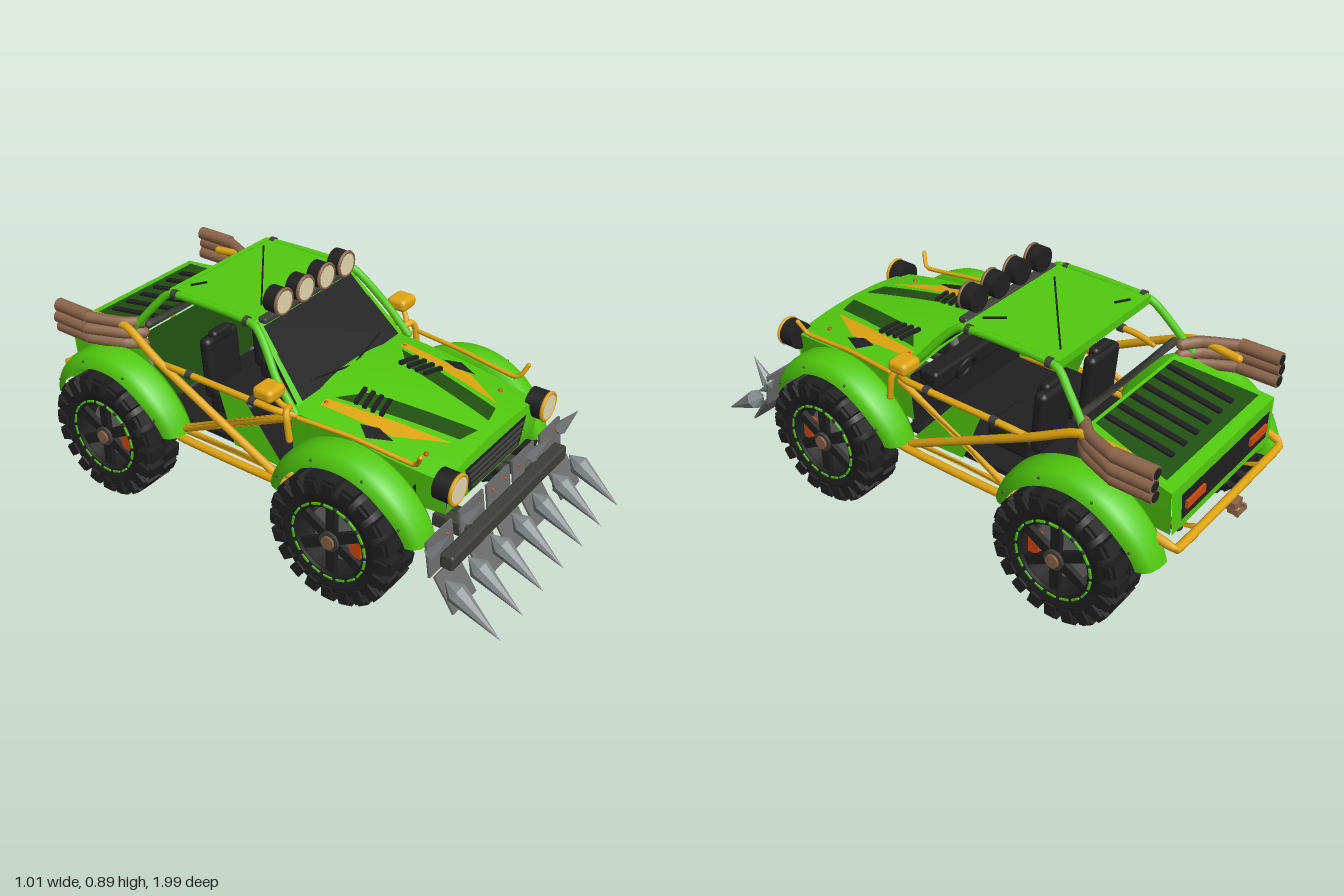
import * as THREE from 'three';
import { mergeGeometries } from 'three/addons/utils/BufferGeometryUtils.js';
import { RoundedBoxGeometry } from 'three/addons/geometries/RoundedBoxGeometry.js';

const mat = (name, color) => new THREE.MeshStandardMaterial({ name, color, side: THREE.DoubleSide });
const V = (p) => new THREE.Vector3(...p);
const lerp = THREE.MathUtils.lerp;

export function createModel() {
  const root = new THREE.Group();
  root.name = 'armoredBuggy';
  const green = mat('bodyGreen', 0x51ca0e), darkGreen = mat('darkGreen', 0x215010), black = mat('black', 0x202020),
    dark = mat('darkMetal', 0x3f403b), plate = mat('plateGrey', 0x6b6b6b), steel = mat('spikeSteel', 0x848a8a),
    yellow = mat('yellow', 0xe0a510), brown = mat('pipeBrown', 0x8b6549), cream = mat('lampCream', 0xe2d8b0),
    red = mat('orangeRed', 0xd04a10);

  // Helpers
  const add = (name, geo, m, pos = [0, 0, 0], rot = [0, 0, 0], parent = root) => {
    const mesh = new THREE.Mesh(geo, m);
    mesh.name = name;
    mesh.position.set(...pos);
    mesh.rotation.set(...rot);
    parent.add(mesh);
    return mesh;
  };
  const box = (name, m, size, pos, rot) => add(name, new THREE.BoxGeometry(...size), m, pos, rot);
  const round = (name, m, size, pos, r = 0.015) => add(name, new RoundedBoxGeometry(...size, 2, r), m, pos);
  const tube = (name, m, r, pts) => {
    const c = new THREE.CatmullRomCurve3(pts.map(V), false, 'catmullrom', 0.25);
    add(name, new THREE.TubeGeometry(c, pts.length > 2 ? pts.length * 7 : 1, r, 10), m);
    for (const p of [pts[0], pts[pts.length - 1]]) add(name + 'End', new THREE.SphereGeometry(r, 10, 6), m, p);
  };
  const surface = (fn, nu, nv) => {
    const pos = [], idx = [];
    for (let j = 0; j <= nv; j++) for (let i = 0; i <= nu; i++) pos.push(...fn(i / nu, j / nv));
    for (let j = 0; j < nv; j++) for (let i = 0; i < nu; i++) {
      const a = j * (nu + 1) + i, b = a + nu + 1;
      idx.push(a, b, a + 1, b, b + 1, a + 1);
    }
    const g = new THREE.BufferGeometry();
    g.setAttribute('position', new THREE.Float32BufferAttribute(pos, 3));
    g.setIndex(idx);
    g.computeVertexNormals();
    return g;
  };
  // Flat quad through four corners a, b, c, d in order
  const quad = (name, m, a, b, c, d) => add(name, surface((u, v) =>
    a.map((_, k) => lerp(lerp(a[k], b[k], u), lerp(d[k], c[k], u), v)), 1, 1), m);
  const flat = (g) => { const n = g.toNonIndexed(); n.computeVertexNormals(); return n; };
  const discZ = (name, m, r, len, pos, seg = 28) =>
    add(name, new THREE.CylinderGeometry(r, r, len, seg), m, pos, [Math.PI / 2, 0, 0]);
  const sides = [1, -1];

  // Hood: crowned top, side walls and nose
  const hoodY = (x, z) => { const t = (z - 0.12) / 0.58; return 0.585 - 0.03 * t - 0.035 * t * t - 0.34 * x * x; };
  const hoodW = (z) => 0.325 - 0.03 * Math.max(0, (z - 0.35) / 0.35) ** 2;
  const hz = (v) => lerp(0.12, 0.7, v);
  add('hood', surface((u, v) => {
    const z = hz(v), x = (u * 2 - 1) * hoodW(z);
    return [x, hoodY(x, z), z];
  }, 16, 14), green);
  for (const s of sides) add('hoodSide', surface((u, v) => {
    const z = hz(v), w = hoodW(z);
    return [s * (w - 0.015 * u), lerp(hoodY(w, z), 0.36, u), z];
  }, 1, 14), green);
  const nw = hoodW(0.7);
  add('nose', surface((u, v) => {
    const x = (u * 2 - 1) * lerp(nw, 0.285, v);
    return [x, lerp(hoodY(x, 0.7), 0.36, v), 0.7 + 0.008 * Math.sin(v * Math.PI)];
  }, 12, 6), green);
  quad('grille', black, [-0.2, 0.49, 0.713], [0.2, 0.49, 0.713], [0.165, 0.385, 0.713], [-0.165, 0.385, 0.713]);
  for (let i = 0; i < 4; i++) box('grilleSlat', dark, [0.36 - i * 0.018, 0.005, 0.008], [0, 0.472 - i * 0.023, 0.717]);
  // Painted hood markings follow the crown
  const decal = (name, m, p) => {
    for (const s of sides) add(name, surface((u, v) => {
      const x = s * lerp(lerp(p[0][0], p[1][0], u), lerp(p[3][0], p[2][0], u), v);
      const z = lerp(lerp(p[0][1], p[1][1], u), lerp(p[3][1], p[2][1], u), v);
      return [x, hoodY(x, z) + 0.004, z];
    }, 4, 8), m);
  };
  decal('hoodFlash', yellow, [[0.255, 0.19], [0.22, 0.19], [0.145, 0.63], [0.24, 0.47]]);
  decal('hoodStripe', darkGreen, [[0.2, 0.21], [0.11, 0.29], [0.035, 0.66], [0.115, 0.64]]);
  decal('hoodPatch', black, [[0.255, 0.35], [0.235, 0.41], [0.255, 0.48], [0.295, 0.4]]);
  // Raised vents and hood pins
  for (const s of sides) {
    for (let i = 0; i < 4; i++) {
      const z = 0.275 + i * 0.033;
      box('hoodVent', black, [0.085, 0.014, 0.014], [s * 0.145, hoodY(0.145, z) + 0.006, z], [0, s * -0.22, s * -0.1]);
    }
    for (const [x, z] of [[0.235, 0.2], [0.235, 0.59]])
      add('hoodPin', new THREE.SphereGeometry(0.009, 8, 6), red, [s * x, hoodY(x, z), z]);
  }

  // Windshield, roof and cage
  quad('windshield', black, [-0.285, 0.572, 0.14], [0.285, 0.572, 0.14], [0.25, 0.772, -0.05], [-0.25, 0.772, -0.05]);
  quad('windshieldHeader', green, [-0.255, 0.768, -0.047], [0.255, 0.768, -0.047], [0.255, 0.79, -0.07], [-0.255, 0.79, -0.07]);
  round('roof', green, [0.53, 0.02, 0.38], [0, 0.785, -0.255], 0.008);
  box('roofRearFrame', green, [0.53, 0.03, 0.02], [0, 0.783, -0.44]);
  for (const s of sides) {
    quad('pillarPlate', green, [s * 0.28, 0.565, 0.142], [s * 0.31, 0.565, 0.14], [s * 0.262, 0.785, -0.065], [s * 0.247, 0.775, -0.05]);
    tube('cageTube', green, 0.014, [[s * 0.335, 0.55, 0.15], [s * 0.322, 0.65, 0.06], [s * 0.274, 0.785, -0.07],
      [s * 0.268, 0.785, -0.43], [s * 0.285, 0.73, -0.5], [s * 0.315, 0.61, -0.6]]);
    for (const z of [-0.1, -0.42]) add('cageClamp', new THREE.CylinderGeometry(0.018, 0.018, 0.02, 10), dark, [s * 0.27, 0.786, z], [Math.PI / 2, 0, 0]);
  }
  const roofLine = (a, b, w) => {
    const dx = b[0] - a[0], dz = b[1] - a[1];
    box('roofCrease', black, [Math.hypot(dx, dz), 0.006, w], [(a[0] + b[0]) / 2, 0.797, (a[1] + b[1]) / 2], [0, -Math.atan2(dz, dx), 0]);
  };
  roofLine([-0.17, -0.12], [0.2, -0.41], 0.006);
  roofLine([0.15, -0.16], [0.2, -0.1], 0.008);
  roofLine([-0.2, -0.41], [-0.15, -0.38], 0.008);
  for (const s of sides) tube('wiper', black, 0.004, [[s * 0.2, 0.605, 0.117], [s * 0.02, 0.58, 0.14]]);

  // Roof lamp bar
  round('lampBar', dark, [0.5, 0.022, 0.035], [0, 0.792, -0.055], 0.008);
  for (const x of [-0.177, -0.059, 0.059, 0.177]) {
    discZ('roofLampHousing', black, 0.046, 0.05, [x, 0.845, -0.045]);
    add('roofLampRing', new THREE.TorusGeometry(0.044, 0.006, 8, 28), brown, [x, 0.845, -0.018]);
    discZ('roofLampLens', cream, 0.041, 0.008, [x, 0.845, -0.018]);
  }

  // Headlights, mirrors and hood-side tubes
  for (const s of sides) {
    discZ('headlightHousing', black, 0.052, 0.065, [s * 0.295, 0.485, 0.712]);
    add('headlightRing', new THREE.TorusGeometry(0.049, 0.007, 8, 28), yellow, [s * 0.295, 0.485, 0.745]);
    discZ('headlightLens', cream, 0.045, 0.01, [s * 0.295, 0.485, 0.745]);
    round('mirror', yellow, [0.088, 0.048, 0.08], [s * 0.387, 0.642, 0.083], 0.018);
    tube('mirrorStalk', yellow, 0.01, [[s * 0.385, 0.63, 0.09], [s * 0.365, 0.59, 0.12], [s * 0.335, 0.56, 0.14]]);
    tube('mirrorBrace', yellow, 0.012, [[s * 0.335, 0.575, 0.13], [s * 0.37, 0.58, 0.14], [s * 0.383, 0.555, 0.15], [s * 0.383, 0.48, 0.16]]);
    tube('hoodSideTube', yellow, 0.008, [[s * 0.36, 0.56, 0.18], [s * 0.34, 0.555, 0.38], [s * 0.325, 0.535, 0.6], [s * 0.345, 0.585, 0.635]]);
  }

  // Fenders: rounded section swept over each wheel
  const profile = [[0.33, 0.24], [0.33, 0.285], [0.355, 0.302], [0.4, 0.3], [0.435, 0.29], [0.455, 0.272], [0.462, 0.245]];
  const fender = (s, zc) => add('fender', surface((u, v) => {
    const [x, r] = profile[Math.round(u * 6)], a = lerp(0.2, Math.PI - 0.2, v);
    const c = Math.abs(Math.cos(a));
    return [s * (x - 0.03 * c ** 6 * u), 0.25 + r * Math.sin(a), zc + r * (1 + 0.045 * c ** 4) * Math.cos(a)];
  }, 6, 28), green);
  for (const s of sides) for (const z of [0.4, -0.62]) {
    fender(s, z);
    for (const a of [0.5, 1.2, 1.94, 2.64])
      add('fenderBolt', new THREE.SphereGeometry(0.005, 6, 4), dark, [s * 0.457, 0.25 + 0.27 * Math.sin(a), z + 0.27 * Math.cos(a)]);
  }

  // Rear body: sloping deck, louvers, side walls and tail panel
  const deckY = (z) => 0.605 + (z + 0.56) * 0.17;
  const deck = (name, m, w0, w1, z0, z1, lift) => quad(name, m, [-w0, deckY(z0) + lift, z0], [w0, deckY(z0) + lift, z0],
    [w1, deckY(z1) + lift, z1], [-w1, deckY(z1) + lift, z1]);
  deck('rearDeck', green, 0.29, 0.325, -0.56, -0.91, 0);
  deck('deckInset', darkGreen, 0.235, 0.29, -0.575, -0.87, 0.005);
  for (let i = 0; i < 6; i++) box('deckLouver', black, [0.022, 0.012, 0.25], [-0.185 + i * 0.074, deckY(-0.705) + 0.008, -0.705], [-0.17, 0, 0]);
  for (const s of sides) quad('rearSide', green, [s * 0.29, deckY(-0.56), -0.56], [s * 0.325, deckY(-0.91), -0.91], [s * 0.31, 0.38, -0.91], [s * 0.29, 0.38, -0.56]);
  quad('tailPanel', green, [-0.325, 0.546, -0.91], [0.325, 0.546, -0.91], [0.31, 0.38, -0.915], [-0.31, 0.38, -0.915]);
  quad('tailInset', black, [-0.28, 0.52, -0.92], [0.28, 0.52, -0.92], [0.27, 0.42, -0.922], [-0.27, 0.42, -0.922]);
  for (const s of sides) box('tailLight', red, [0.11, 0.028, 0.009], [s * 0.2, 0.47, -0.926]);
  quad('bulkhead', darkGreen, [-0.285, 0.6, -0.56], [0.285, 0.6, -0.56], [0.285, 0.32, -0.51], [-0.285, 0.32, -0.51]);
  tube('cabinCrossBar', dark, 0.015, [[-0.29, 0.64, -0.54], [0.29, 0.64, -0.54]]);

  // Side cage and exhausts
  for (const s of sides) {
    const x = s * 0.37;
    tube('sillTube', yellow, 0.015, [[s * 0.34, 0.31, 0.17], [s * 0.385, 0.295, 0.12], [s * 0.385, 0.295, -0.33], [s * 0.34, 0.31, -0.4]]);
    tube('innerSillTube', yellow, 0.012, [[s * 0.34, 0.295, 0.14], [s * 0.34, 0.295, -0.36]]);
    tube('beltTube', yellow, 0.012, [[s * 0.34, 0.55, 0.15], [x, 0.562, 0.08], [x, 0.562, -0.32], [s * 0.36, 0.55, -0.42]]);
    tube('braceRising', yellow, 0.015, [[x, 0.31, 0.08], [x, 0.56, -0.42], [s * 0.35, 0.64, -0.59], [s * 0.34, 0.63, -0.76]]);
    tube('braceFalling', yellow, 0.015, [[s * 0.355, 0.54, 0.13], [x, 0.31, -0.36]]);
    for (const z of [0.0, -0.28]) add('tubeClamp', new THREE.CylinderGeometry(0.016, 0.016, 0.025, 10), dark, [x, 0.562, z], [Math.PI / 2, 0, 0]);
    quad('doorPanel', green, [s * 0.335, 0.31, 0.1], [s * 0.325, 0.53, -0.09], [s * 0.325, 0.54, -0.2], [s * 0.335, 0.32, -0.12]);
    for (let i = 0; i < 3; i++) {
      const y = 0.565 + i * 0.042, px = s * (0.398 - Math.abs(i - 1) * 0.008);
      tube('exhaustPipe', brown, 0.021, [[s * 0.29, y - 0.01, -0.57], [s * 0.34, y - 0.005, -0.62], [px, y, -0.74], [px, y, -0.8]]);
      discZ('exhaustTip', brown, 0.025, 0.15, [px, y + 0.003, -0.815], 14);
      discZ('exhaustBore', black, 0.018, 0.006, [px, y + 0.003, -0.891], 14);
    }
  }
  // Rear bumper and hitch
  tube('rearBumper', yellow, 0.015, [[-0.35, 0.4, -0.83], [-0.345, 0.375, -0.93], [-0.31, 0.36, -0.95], [0.31, 0.36, -0.95], [0.345, 0.375, -0.93], [0.35, 0.4, -0.83]]);
  for (const s of sides) tube('bumperStrut', yellow, 0.011, [[s * 0.2, 0.36, -0.95], [s * 0.2, 0.31, -0.8]]);
  box('hitch', brown, [0.05, 0.03, 0.05], [0, 0.335, -0.955]);
  for (const s of sides) box('hitchFork', brown, [0.01, 0.02, 0.04], [s * 0.022, 0.32, -0.975]);
  box('hitchPin', brown, [0.06, 0.012, 0.012], [0, 0.315, -0.99]);

  // Cabin interior
  box('floor', black, [0.6, 0.02, 0.66], [0, 0.305, -0.17]);
  round('dashboard', black, [0.56, 0.07, 0.08], [0, 0.525, 0.08]);
  quad('firewall', black, [-0.31, 0.54, 0.13], [0.31, 0.54, 0.13], [0.31, 0.31, 0.13], [-0.31, 0.31, 0.13]);
  add('steeringWheel', new THREE.TorusGeometry(0.045, 0.007, 8, 20), black, [0.14, 0.53, 0.025], [-0.4, 0, 0]);
  for (const s of sides) {
    round('seatBase', black, [0.18, 0.09, 0.19], [s * 0.14, 0.375, -0.23], 0.02);
    const back = round('seatBack', black, [0.17, 0.24, 0.05], [s * 0.14, 0.49, -0.34], 0.02);
    back.rotation.x = -0.08;
    round('headrest', black, [0.1, 0.05, 0.04], [s * 0.14, 0.605, -0.34], 0.015);
  }

  // Chassis, axles and shocks
  for (const s of sides) {
    tube('chassisRail', dark, 0.018, [[s * 0.15, 0.28, 0.68], [s * 0.15, 0.28, -0.85]]);
    for (const z of [0.4, -0.61]) {
      tube('shock', steel, 0.018, [[s * 0.3, 0.26, z + 0.05], [s * 0.25, 0.47, z + 0.03]]);
      tube('suspensionArm', dark, 0.012, [[s * 0.34, 0.25, z], [s * 0.15, 0.27, z - 0.17]]);
    }
  }
  for (const z of [0.4, -0.61]) {
    tube('axle', dark, 0.022, [[-0.37, 0.245, z], [0.37, 0.245, z]]);
    add('differential', new THREE.CylinderGeometry(0.052, 0.052, 0.16, 16), dark, [0, 0.245, z], [0, 0, Math.PI / 2]);
  }
  tube('driveShaft', dark, 0.015, [[0, 0.26, 0.4], [0, 0.26, -0.61]]);
  for (const s of sides) quad('frontWell', black, [s * 0.285, 0.45, 0.6], [s * 0.345, 0.45, 0.6], [s * 0.345, 0.34, 0.6], [s * 0.285, 0.34, 0.6]);

  // Spiked ram: beam, five bent blade plates and spikes
  round('ramBeam', dark, [0.77, 0.055, 0.05], [0, 0.268, 0.77], 0.01);
  for (const s of sides) box('ramArm', dark, [0.05, 0.045, 0.14], [s * 0.2, 0.27, 0.69]);
  for (const x of [-0.365, -0.172, 0, 0.172, 0.365]) {
    box('bladePlateUpper', plate, [0.15, 0.13, 0.008], [x, 0.298, 0.735], [-0.15, 0, 0]);
    box('bladePlateLower', plate, [0.138, 0.135, 0.008], [x, 0.184, 0.797], [-0.6, 0, 0]);
    for (const d of [-0.04, 0.04]) add('plateBolt', new THREE.SphereGeometry(0.005, 6, 4), red, [x + d, 0.33, 0.735]);
  }
  const spike = (name, r, base, tip) => {
    const d = V(tip).sub(V(base)), L = d.length();
    const g = flat(new THREE.LatheGeometry([[0, 0], [r, L * 0.2], [0, L]].map((p) => new THREE.Vector2(...p)), 8));
    add(name, g, steel, base).quaternion.setFromUnitVectors(new THREE.Vector3(0, 1, 0), d.normalize());
  };
  for (let i = -3; i <= 3; i++) spike('ramSpike', 0.037, [i * 0.14, 0.235, 0.79], [i * 0.14, 0.1, 0.998]);
  for (const x of [-0.425, -0.215, 0.215, 0.425]) spike('upperSpike', 0.025, [x, 0.3, 0.725], [x * 1.01, 0.42, 0.8]);

  // Wheels: lathe tyre with tread blocks, spoked rim, hub and brake
  const radial = (w, h, t, x, r, a) => {
    const g = new THREE.BoxGeometry(w, h, t);
    g.translate(x, r, 0);
    return g.rotateX(a);
  };
  const ring = (n, fn) => mergeGeometries(Array.from({ length: n }, (_, i) => fn((i / n) * Math.PI * 2)));
  const tyrePts = [[0.142, -0.062], [0.175, -0.074], [0.203, -0.068], [0.217, -0.045], [0.22, 0], [0.217, 0.045], [0.203, 0.068], [0.175, 0.074], [0.142, 0.062]];
  const tyreGeo = new THREE.LatheGeometry(tyrePts.map((p) => new THREE.Vector2(...p)), 40).rotateZ(-Math.PI / 2);
  const step = Math.PI / 20;
  const treadGeo = mergeGeometries([
    ring(20, (a) => radial(0.066, 0.032, 0.046, 0.036, 0.223, a)), ring(20, (a) => radial(0.066, 0.032, 0.046, -0.036, 0.223, a + step)),
    ring(20, (a) => radial(0.018, 0.046, 0.04, 0.071, 0.205, a)), ring(20, (a) => radial(0.018, 0.046, 0.04, -0.071, 0.205, a + step))]);
  const cyl = (r, len) => new THREE.CylinderGeometry(r, r, len, 28).rotateZ(Math.PI / 2);
  for (const s of sides) for (const z of [0.4, -0.61]) {
    const w = new THREE.Group();
    w.name = 'wheel';
    w.position.set(s * 0.425, 0.243, z);
    w.rotation.y = s > 0 ? 0 : Math.PI;
    root.add(w);
    const part = (name, geo, m, x = 0) => add(name, geo, m, [x, 0, 0], [0, 0, 0], w);
    part('tyre', tyreGeo, black);
    part('tread', treadGeo, black);
    part('rimBarrel', new THREE.CylinderGeometry(0.144, 0.144, 0.13, 32, 1, true).rotateZ(Math.PI / 2), black);
    part('rimLip', new THREE.TorusGeometry(0.137, 0.009, 8, 32).rotateY(Math.PI / 2), black, 0.062);
    part('rimDashes', ring(18, (a) => radial(0.006, 0.007, 0.034, 0.071, 0.142, a)), green);
    part('rimBack', cyl(0.14, 0.01), dark, -0.045);
    part('brakeDisc', cyl(0.105, 0.012), plate, 0.005);
    part('spokes', ring(6, (a) => radial(0.02, 0.115, 0.036, 0.05, 0.08, a)), black);
    part('hub', cyl(0.036, 0.04), dark, 0.05);
    part('hubCap', cyl(0.024, 0.02), brown, 0.068);
    box('brakeCaliper', red, [0.03, 0.075, 0.04], [s * 0.46, 0.25, z + 0.09]);
  }
  return root;
}
